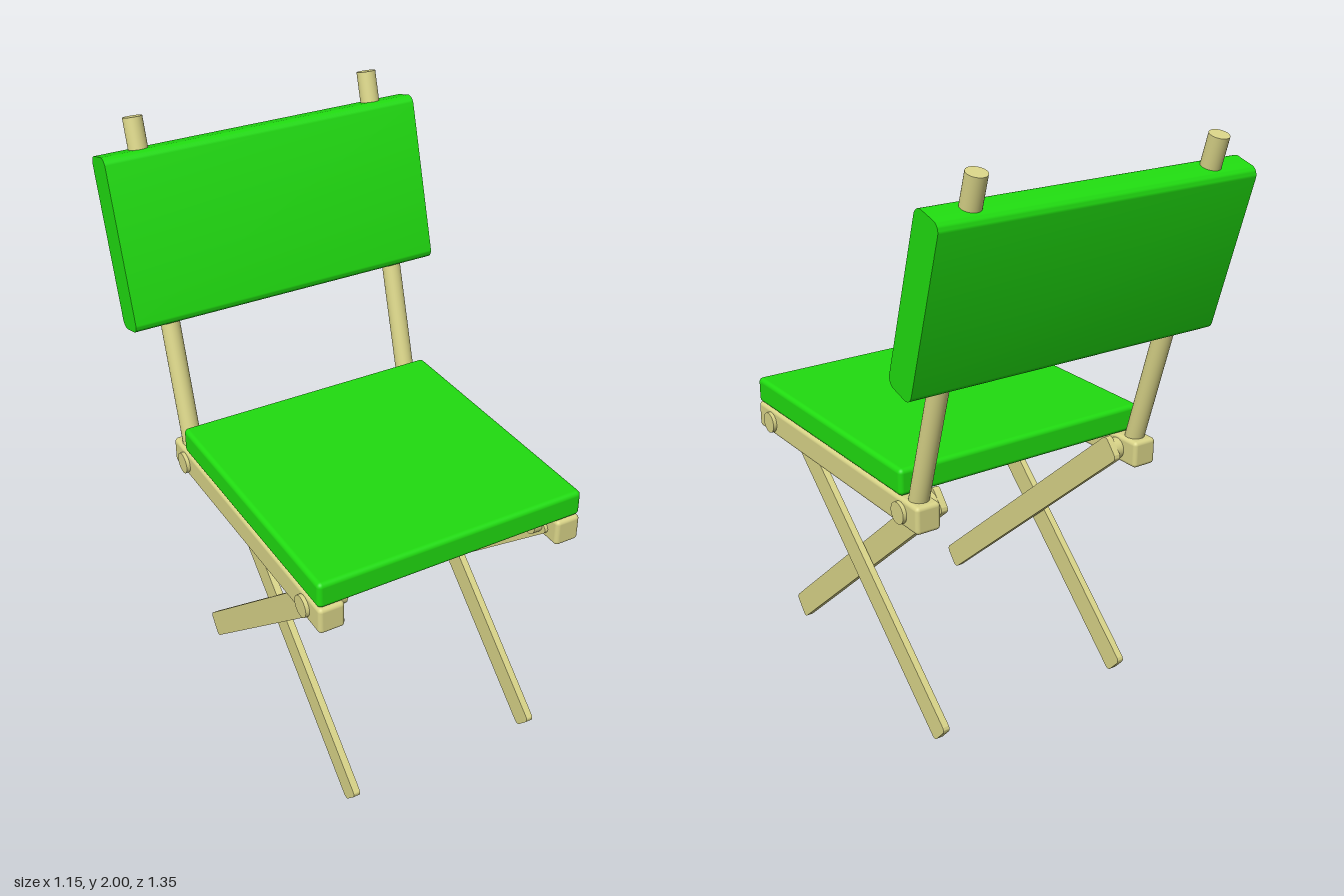
import * as THREE from 'three';
import { toCreasedNormals } from 'three/addons/utils/BufferGeometryUtils.js';
import { RoundedBoxGeometry } from 'three/addons/geometries/RoundedBoxGeometry.js';

const fabric = new THREE.MeshStandardMaterial({ color: 0x20dc10 });
const wood = new THREE.MeshStandardMaterial({ color: 0xd9d488 });

// Bar with a rounded side profile (length along z, height along y) and flat ends in x
function bar(width, height, length, r) {
  const a = length / 2, b = height / 2;
  const s = new THREE.Shape();
  s.moveTo(-a + r, -b);
  s.lineTo(a - r, -b);
  s.absarc(a - r, -b + r, r, -Math.PI / 2, 0);
  s.absarc(a - r, b - r, r, 0, Math.PI / 2);
  s.absarc(-a + r, b - r, r, Math.PI / 2, Math.PI);
  s.absarc(-a + r, -b + r, r, Math.PI, Math.PI * 1.5);
  const geo = new THREE.ExtrudeGeometry(s, { depth: width, bevelEnabled: false, curveSegments: 6 });
  geo.translate(0, 0, -width / 2).rotateY(-Math.PI / 2);
  return toCreasedNormals(geo, 0.6);
}

export function createModel() {
  const model = new THREE.Group();
  model.name = 'foldingChair';

  const add = (name, geo, mat, x, y, z) => {
    const mesh = new THREE.Mesh(geo, mat);
    mesh.name = name;
    mesh.position.set(x, y, z);
    model.add(mesh);
    return mesh;
  };

  // Flat bar running between two points
  const leg = (name, foot, top) => {
    const a = new THREE.Vector3(...foot), b = new THREE.Vector3(...top);
    const mid = a.clone().add(b).multiplyScalar(0.5);
    const mesh = add(name, bar(0.024, 0.09, a.distanceTo(b), 0.018), wood, mid.x, mid.y, mid.z);
    mesh.lookAt(b);
  };

  // Seat cushion and reclined back panel
  const recline = -0.281;
  add('seat', new RoundedBoxGeometry(0.96, 0.092, 0.966, 4, 0.016), fabric, 0, 0.957, 0.192);
  add('backPanel', bar(1.15, 0.582, 0.122, 0.03), fabric, 0, 1.61, -0.533).rotation.x = recline;

  for (const [side, s] of [['left', 1], ['right', -1]]) {
    // Round back post, from the rail up through the panel
    const post = add(side + 'BackPost', new THREE.CylinderGeometry(0.033, 0.033, 1.16, 32), wood,
      s * 0.435, 1.433, -0.479);
    post.rotation.x = recline;

    // Side rail under the seat
    add(side + 'SeatRail', new RoundedBoxGeometry(0.09, 0.095, 1.065, 4, 0.014), wood,
      s * 0.435, 0.863, 0.147);

    // Pivot pins through rail and legs
    for (const [end, z] of [['Front', 0.58], ['Rear', -0.29]]) {
      const pin = add(side + end + 'Pin', new THREE.CylinderGeometry(0.037, 0.037, 0.145, 32), wood,
        s * 0.4205, 0.862, z);
      pin.rotation.z = Math.PI / 2;
    }

    // Crossed legs: the inner one reaches forward, the outer one back
    leg(side + 'InnerLeg', [s * 0.35, 0.03, 0.66], [s * 0.35, 0.885, -0.32]);
    leg(side + 'OuterLeg', [s * 0.374, 0.03, -0.355], [s * 0.39, 0.885, 0.61]);
  }
  return model;
}
